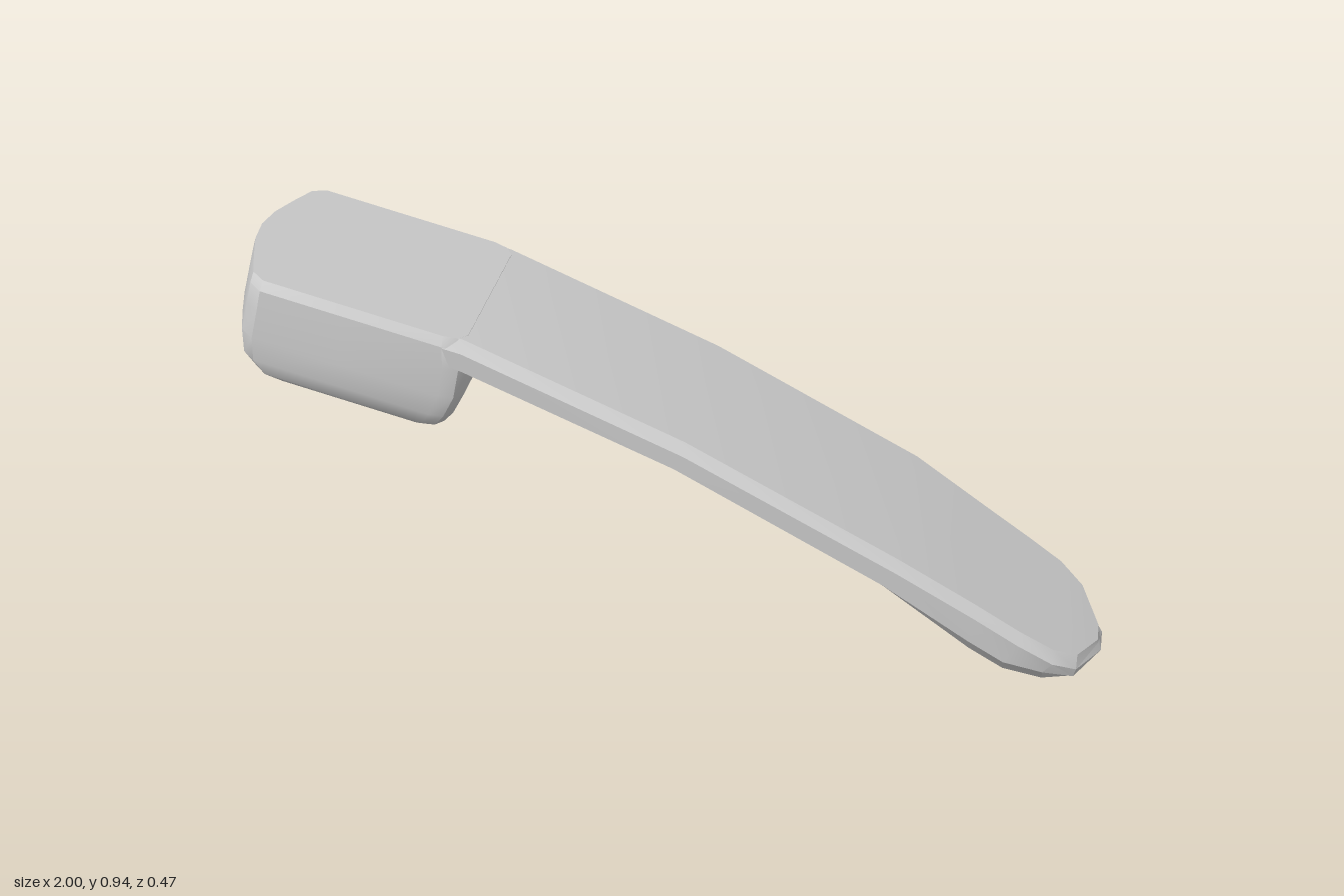
import * as THREE from 'three';
import { toCreasedNormals } from 'three/addons/utils/BufferGeometryUtils.js';

const material = new THREE.MeshStandardMaterial({ color: 0xcccccc });

// Skin closed rings of points and close both ends with fans
function loft(name, rings, crease) {
  const n = rings[0].length;
  const pos = rings.flat(2);
  const index = [];
  for (let i = 0; i < rings.length - 1; i++) {
    for (let j = 0; j < n; j++) {
      const k = (j + 1) % n;
      const a = i * n + j, b = i * n + k, c = b + n, d = a + n;
      index.push(a, b, c, a, c, d);
    }
  }
  const cap = (i, flip) => {
    const c = pos.length / 3;
    for (let axis = 0; axis < 3; axis++) {
      pos.push(rings[i].reduce((sum, p) => sum + p[axis], 0) / n);
    }
    for (let j = 0; j < n; j++) {
      const a = i * n + j, b = i * n + (j + 1) % n;
      index.push(c, flip ? b : a, flip ? a : b);
    }
  };
  cap(0, true);
  cap(rings.length - 1, false);
  const g = new THREE.BufferGeometry();
  g.setAttribute('position', new THREE.Float32BufferAttribute(pos, 3));
  g.setIndex(index);
  const mesh = new THREE.Mesh(toCreasedNormals(g, crease), material);
  mesh.name = name;
  return mesh;
}

// Bevelled grip that deepens into a keel under the mouthpiece
function createGrip() {
  // top x, top y, lower x, lower y, half width, keel y
  const stations = [
    [-0.52, 0.834, -0.5, 0.765, 0.235, 0.765],
    [-0.44, 0.815, -0.44, 0.745, 0.235, 0.745],
    [0.05, 0.61, 0.03, 0.55, 0.235, 0.55],
    [0.53, 0.36, 0.5, 0.3, 0.235, 0.3],
    [0.71, 0.245, 0.7, 0.157, 0.217, 0.07],
    [0.81, 0.18, 0.78, 0.105, 0.21, 0.02],
    [0.89, 0.13, 0.87, 0.08, 0.198, 0],
    [0.945, 0.095, 0.94, 0.05, 0.16, 0.012],
    [0.99, 0.063, 1, 0.04, 0.035, 0.033],
  ];
  const rings = stations.map(([xt, top, xb, low, w, keel]) => {
    const bevel = Math.min(0.025, w * 0.2);
    const half = [
      [xt, top, w - bevel],
      [xt, top - bevel * 0.9, w],
      [xb, low, w * 0.985],
      [xb, keel + (low - keel) * 0.45, w * 0.8],
    ];
    const mirrored = half.map(([x, y, z]) => [x, y, -z]).reverse();
    return [...half, [xb, keel, 0], ...mirrored];
  });
  // Each ring starts on the +z top edge and runs around under the grip
  return loft('gripAndMouthpiece', rings, 0.35);
}

// Deep rounded earpiece, stacked in layers below its sloping top
const topY = (x) => 0.94 - 0.24 * (x + 0.96);

function createEarpiece() {
  // position along the length and share of the half width
  const half = [[1, 0.45], [1, 0.85], [0.97, 0.96], [0.91, 1], [0.5, 1],
    [0.15, 1], [0.095, 0.9], [0.055, 0.62], [0.015, 0.3]];
  const outline = [[1, 0], ...half, [0, 0],
    ...half.map(([s, t]) => [s, -t]).reverse()];
  // depth, end x, front x, half width
  const layers = [
    [0, -0.96, -0.435, 0.22],
    [0.02, -0.965, -0.435, 0.235],
    [0.075, -0.98, -0.435, 0.236],
    [0.15, -1, -0.45, 0.234],
    [0.21, -1, -0.478, 0.23],
    [0.25, -0.975, -0.505, 0.214],
    [0.27, -0.935, -0.53, 0.192],
    [0.278, -0.89, -0.56, 0.165],
  ];
  const rings = layers.map(([d, x0, x1, w]) => outline.map(([s, t]) => {
    const x = x0 + (x1 - x0) * s;
    return [x, topY(x) - d, w * t];
  }));
  // shallow round dish in the underside
  for (const [r, d] of [[0.14, 0.278], [0.125, 0.264], [0.06, 0.256]]) {
    rings.push(outline.map(([s, t]) => {
      const a = Math.atan2(t * 0.165, (s - 0.5) * 0.33);
      const x = -0.725 + r * Math.cos(a);
      return [x, topY(x) - d, r * Math.sin(a)];
    }));
  }
  return loft('earpiece', rings, 0.6);
}

// Small raised slot marks on the underside
function createSlot(name, x, y, tilt) {
  const slot = new THREE.Mesh(new THREE.BoxGeometry(0.012, 0.008, 0.05), material);
  slot.name = name;
  slot.position.set(x, y, 0);
  slot.rotation.z = tilt;
  return slot;
}

export function createModel() {
  const group = new THREE.Group();
  group.name = 'telephoneHandset';
  group.add(
    createGrip(),
    createEarpiece(),
    createSlot('gripSlot', 0.2, 0.46, -0.49),
    createSlot('earpieceSlot', -0.725, topY(-0.725) - 0.256, -0.24),
  );
  return group;
}
